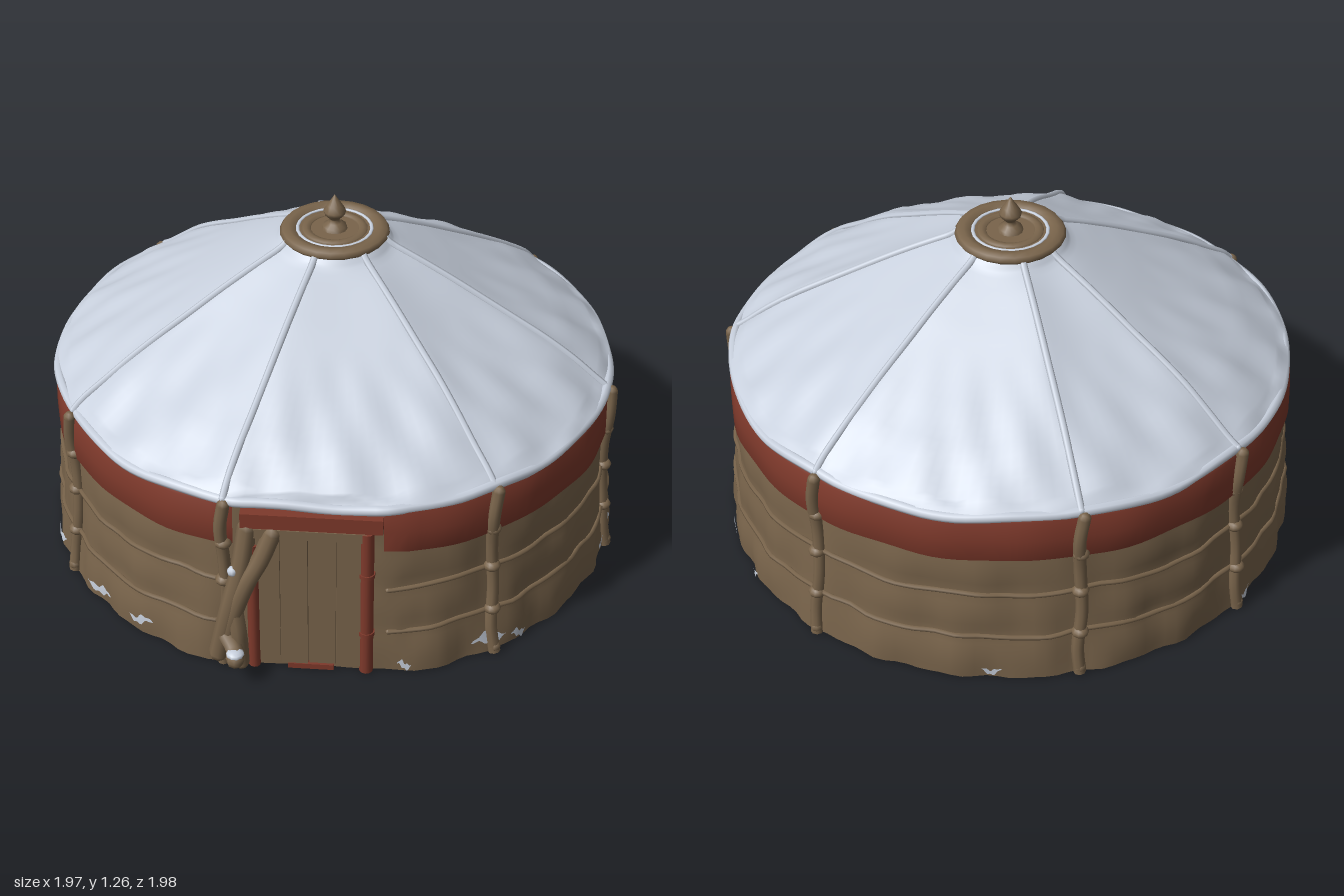
import * as THREE from 'three';

const mat = (name, color, side = THREE.FrontSide) => {
  const m = new THREE.MeshStandardMaterial({ color, side });
  m.name = name;
  return m;
};
const V = (x, y, z) => new THREE.Vector3(x, y, z);
const TAU = Math.PI * 2;
const rad = (d) => (d * Math.PI) / 180;

// Angles of the rope posts, measured from +x towards +z
const posts = [10, 53, 107, 151, 224, 261, 315].map(rad);

// Point on the round plan, flattened at the doorway
function plan(a, r, y) {
  const cap = 0.88 + (r - 0.95) * 0.3;
  return V(r * Math.cos(a), y, -0.03 + Math.min(r * 0.97 * Math.sin(a), cap));
}

// 0 at a post, 1 midway between two posts
function between(a) {
  a = ((a % TAU) + TAU) % TAU;
  for (let i = 0; i < posts.length; i++) {
    const p = posts[i];
    const q = i + 1 < posts.length ? posts[i + 1] : posts[0] + TAU;
    const b = a < posts[0] ? a + TAU : a;
    if (b >= p && b <= q) return Math.sin((Math.PI * (b - p)) / (q - p));
  }
  return 0;
}

// Grid surface: fn(u, v), u running by angle, v running upwards
function sheet(nu, nv, fn, closed = false) {
  const pos = [], index = [], cols = closed ? nu : nu + 1;
  for (let j = 0; j <= nv; j++)
    for (let i = 0; i < cols; i++) pos.push(...fn(i / nu, j / nv).toArray());
  for (let j = 0; j < nv; j++)
    for (let i = 0; i < nu; i++) {
      const a = j * cols + i, b = j * cols + ((i + 1) % cols);
      index.push(a, a + cols, b, b, a + cols, b + cols);
    }
  const g = new THREE.BufferGeometry();
  g.setAttribute('position', new THREE.Float32BufferAttribute(pos, 3));
  g.setIndex(index);
  g.computeVertexNormals();
  return g;
}

// Linear lookup in a profile of [r, y] pairs
function along(profile, t) {
  const s = t * (profile.length - 1), i = Math.min(Math.floor(s), profile.length - 2), f = s - i;
  return [0, 1].map((k) => profile[i][k] * (1 - f) + profile[i + 1][k] * f);
}

// Felt wall radius: flared foot, drawn in by ropes, soft folds
function wallRadius(a, y) {
  const flare = 0.937 + 0.04 * Math.pow(1 - y / 0.65, 2);
  const belly = 0.01 * Math.abs(Math.sin((Math.PI * y) / 0.17));
  const folds = 0.006 * Math.sin(23 * a + 5 * y) + 0.004 * Math.sin(41 * a - 9 * y);
  return flare + belly * between(a) + folds * (1 - y / 0.8);
}

const roofProfile = [[0.945, 0.66], [0.9, 0.70], [0.78, 0.785], [0.65, 0.86], [0.52, 0.93],
  [0.4, 0.995], [0.28, 1.055], [0.2, 1.09], [0.165, 1.12]];

function roofPoint(a, t, lift = 0) {
  const [r, y] = along(roofProfile, t);
  const sag = 0.028 * Math.sin(Math.PI * Math.min(1, t * 1.05)) * between(a);
  const low = Math.max(0, 1 - t * 1.8) * Math.min(1, t * 8);
  const dents = 0.008 * low * (Math.sin(17 * a + 9 * t) + Math.sin(29 * a - 14 * t));
  const p = plan(a, r, y - sag + dents + lift);
  p.z -= 0.02 * t;
  return p;
}

export function createModel() {
  const root = new THREE.Group();
  root.name = 'yurt';
  const felt = mat('brown felt', 0x79644b);
  const red = mat('red cloth', 0x7e392b);
  const snow = mat('snow white', 0xc8d0dd);
  const patchMat = mat('snow patch white', 0xc8d0dd, THREE.DoubleSide);

  const add = (name, geo, material, x = 0, y = 0, z = 0, parent = root) => {
    const m = new THREE.Mesh(geo, material);
    m.name = name;
    m.position.set(x, y, z);
    parent.add(m);
    return m;
  };
  const tube = (name, pts, r, material, closed = false, seg = 24, sides = 8) => {
    const curve = new THREE.CatmullRomCurve3(pts, closed);
    const m = add(name, new THREE.TubeGeometry(curve, seg, r, sides, closed), material);
    if (!closed) for (const t of [0, 1]) {
      const end = add(name + 'End', new THREE.SphereGeometry(r, sides, 6), material);
      end.position.copy(curve.getPoint(t));
      if (end.position.y < r) end.position.y = r;
    }
    return m;
  };

  // Wall and floor
  add('wall', sheet(160, 24, (u, v) => plan(u * TAU, wallRadius(u * TAU, v * 0.65), v * 0.65), true), felt);
  add('floor', sheet(160, 1, (u, v) => plan(u * TAU, v * wallRadius(u * TAU, 0), 0), true), felt);

  // Red band, open over the doorway
  const bandProfile = [[0.935, 0.48], [0.958, 0.485], [0.956, 0.56], [0.952, 0.635], [0.93, 0.645]];
  add('redBand', sheet(140, 4, (u, v) => {
    const a = rad(105) + u * rad(331);
    const [r, y] = along(bandProfile, v);
    return plan(a, r + 0.003 * Math.sin(19 * a), y + 0.004 * Math.sin(11 * a));
  }), red);

  // Ropes round the wall, stopping at the door
  for (const y of [0.17, 0.34]) {
    const pts = [];
    for (let i = 0; i <= 72; i++) {
      const a = rad(107) + (i / 72) * rad(328);
      pts.push(plan(a, wallRadius(a, y) + 0.003, y - 0.008 * between(a) + 0.005 * Math.sin(13 * a)));
    }
    tube('wallRope', pts, 0.009, felt, false, 160, 6);
  }

  // Upright rope posts with knots, and seams over the roof
  for (const a of posts) {
    const pts = [0, 0.1, 0.25, 0.42, 0.55, 0.64].map((y, i) =>
      plan(a + 0.008 * Math.sin(i * 2.1), Math.max(wallRadius(a, y), y > 0.45 ? 0.955 : 0) + 0.006, y));
    tube('ropePost', pts, 0.021, felt);
    for (const y of [0.17, 0.34, 0.49]) {
      const p = plan(a, wallRadius(a, y) + 0.01, y);
      add('ropeKnot', new THREE.SphereGeometry(0.029, 10, 8), felt, p.x, p.y, p.z).scale.y = 0.7;
    }
    const seam = [];
    for (let i = 0; i <= 10; i++) seam.push(roofPoint(a, i / 10, 0));
    tube('roofSeam', seam, 0.012, snow, false, 30, 6);
  }

  // Roof with rolled eaves
  add('roof', sheet(168, 32, (u, v) => roofPoint(u * TAU, v), true), snow);
  const eaves = [];
  for (let i = 0; i < 72; i++) {
    const a = (i / 72) * TAU;
    eaves.push(plan(a, 0.938 + 0.004 * Math.sin(9 * a), 0.655 - 0.012 * between(a) + 0.004 * Math.sin(16 * a)));
  }
  tube('eaves', eaves, 0.018, snow, true, 168);

  // Crown ring and finial
  const crown = new THREE.Group();
  crown.name = 'crown';
  crown.position.set(0, 1.115, -0.05);
  root.add(crown);
  add('crownDisc', new THREE.CylinderGeometry(0.15, 0.165, 0.02, 24), felt, 0, 0, 0, crown);
  const ring = (name, R, r, y, material) => {
    const m = add(name, new THREE.TorusGeometry(R, r, 8, 24), material, 0, y, 0, crown);
    m.rotation.x = -Math.PI / 2;
    m.scale.z = 0.6;
  };
  ring('crownRim', 0.154, 0.03, 0.002, felt);
  ring('crownSnow', 0.124, 0.006, 0.011, snow);
  ring('crownInnerRing', 0.095, 0.018, 0.006, felt);
  const finial = [[0.045, 0], [0.04, 0.022], [0.022, 0.032], [0.014, 0.042], [0.02, 0.05], [0.035, 0.066],
    [0.038, 0.078], [0.026, 0.098], [0.01, 0.122], [0, 0.138]].map(([x, y]) => new THREE.Vector2(x, y));
  add('finial', new THREE.LatheGeometry(finial, 12), felt, 0, 0, 0, crown);

  // Door of upright planks in a red frame
  for (let i = 0; i < 4; i++)
    add('doorPlank', new THREE.BoxGeometry(0.086, 0.53, 0.03), felt, -0.142 + i * 0.09, 0.285, 0.853 + (i % 2) * 0.006);
  add('doorSill', new THREE.BoxGeometry(0.15, 0.02, 0.03), red, 0, 0.01, 0.862);
  add('doorHead', new THREE.BoxGeometry(0.36, 0.035, 0.04), felt, 0, 0.553, 0.86);
  add('doorPost', new THREE.CylinderGeometry(0.023, 0.023, 0.57, 10), red, 0.18, 0.285, 0.863);
  add('doorPost', new THREE.CylinderGeometry(0.02, 0.02, 0.5, 10), red, -0.185, 0.25, 0.863);
  for (const y of [0.16, 0.4])
    add('doorPostJoint', new THREE.CylinderGeometry(0.027, 0.027, 0.014, 10), red, 0.18, y, 0.863);
  add('doorLintel', new THREE.BoxGeometry(0.45, 0.055, 0.05), red, 0.005, 0.603, 0.858);

  // Felt door flap drawn aside beside the door
  tube('doorFlap', [V(-0.12, 0.55, 0.87), V(-0.155, 0.46, 0.888), V(-0.2, 0.37, 0.9), V(-0.245, 0.24, 0.9),
    V(-0.27, 0.13, 0.895)], 0.03, felt);
  tube('doorFlapFold', [V(-0.2, 0.56, 0.86), V(-0.22, 0.42, 0.88), V(-0.26, 0.25, 0.895), V(-0.3, 0.06, 0.885)], 0.032, felt);
  tube('doorFlapFold', [V(-0.25, 0.3, 0.89), V(-0.23, 0.17, 0.91), V(-0.225, 0.04, 0.9)], 0.028, felt);
  tube('doorFlapTail', [V(-0.27, 0.15, 0.9), V(-0.24, 0.12, 0.94), V(-0.235, 0.105, 0.97)], 0.03, felt);
  const cap = add('flapSnow', new THREE.SphereGeometry(0.03, 10, 6), snow, -0.235, 0.125, 0.965);
  cap.scale.set(1, 0.5, 1);
  add('flapSnow', new THREE.SphereGeometry(0.018, 8, 6), snow, -0.245, 0.41, 0.896);

  // Snow caught at the foot of the wall: [angle, half width, middle height, half height]
  const patches = [[139, 4, 0.05, 0.022], [126, 3, 0.06, 0.02], [72, 1.5, 0.025, 0.02], [54, 4, 0.055, 0.025],
    [47, 2, 0.03, 0.02], [14, 2, 0.05, 0.015], [6, 1, 0.06, 0.02], [-8, 3, 0.02, 0.012], [-24, 1.5, 0.02, 0.015],
    [160, 3, 0.05, 0.02], [222, 3, 0.03, 0.015], [278, 2, 0.03, 0.015]];
  for (const [d, w, y0, h] of patches)
    add('snowPatch', sheet(14, 4, (u, v) => {
      const a = rad(d + (u * 2 - 1) * w);
      const edge = Math.sin(Math.PI * u) * (0.75 + 0.35 * Math.sin(u * 17 + d));
      const y = Math.max(0.002, y0 + (v * 2 - 1) * h * edge + 0.01 * Math.sin(u * 6 + d));
      return plan(a, wallRadius(a, y) + 0.007, y);
    }), patchMat);

  return root;
}
